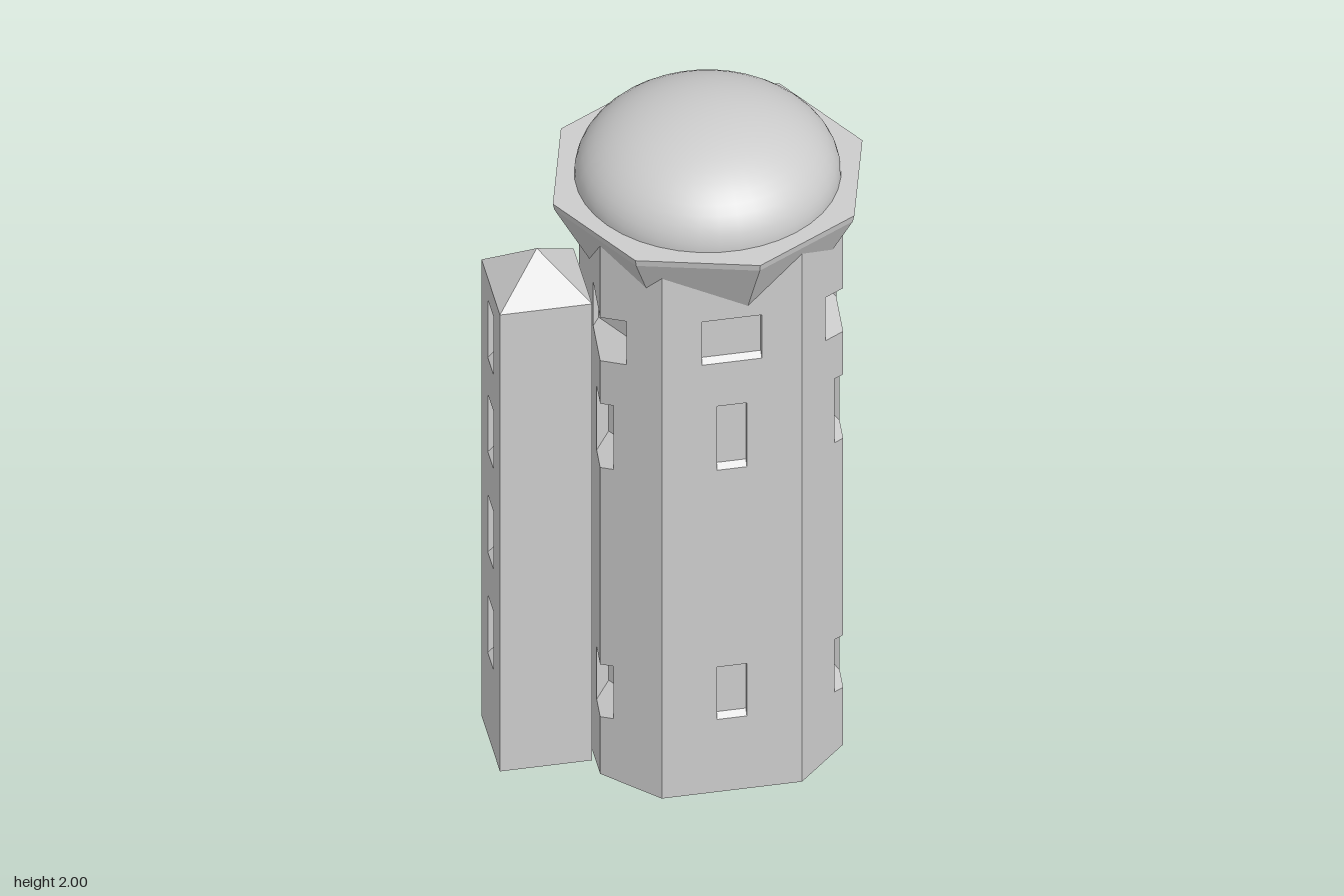
import * as THREE from 'three';
import { mergeGeometries } from 'three/addons/utils/BufferGeometryUtils.js';

const stone = new THREE.MeshStandardMaterial({ color: 0xcccccc, side: THREE.DoubleSide });
stone.name = 'pale stone';

const rad = THREE.MathUtils.degToRad;
const R = 0.375;                                        // shaft corner radius
const corners = [0, 30, 90, 120, 180, 210, 270, 300];   // angles from +z towards +x
const faces = corners.map((a, i) => {
  const b = i < 7 ? corners[i + 1] : 360;
  return { a, b, mid: rad((a + b) / 2), half: rad((b - a) / 2), ap: R * Math.cos(rad((b - a) / 2)) };
});
// bottom, top (measured at the wide walls) and half width
const rows = [[0.238, 0.41, 0.04], [1.057, 1.267, 0.04], [1.408, 1.55, 0.08]];
const WIDE = R * Math.cos(rad(30));

function mesh(name, geometry) {
  const m = new THREE.Mesh(geometry, stone);
  m.name = name;
  return m;
}

function flat(geometry) {
  const g = geometry.index ? geometry.toNonIndexed() : geometry;
  g.computeVertexNormals();
  return g;
}

const poly = (pts) => pts.map(([x, y]) => new THREE.Vector2(x, y));

// Flat wall facing an angle, at a distance from the axis, with optional holes
function wall(outline, holes, angle, distance) {
  const shape = new THREE.Shape(poly(outline));
  holes.forEach((h) => shape.holes.push(new THREE.Path(poly(h))));
  return new THREE.ShapeGeometry(shape).translate(0, 0, distance).rotateY(angle);
}

// Window recess in local axes: slanting sill and head, jambs, and back panel
function recess(ls, radius, back, low, high) {
  const v = [];
  const quad = (a, b, c, d) => v.push(...a, ...b, ...c, ...a, ...c, ...d);
  const front = (l, f) => [l, f(radius(l)), radius(l)];
  const rear = (l, f) => [l, f(back), back];
  for (let i = 0; i + 1 < ls.length; i++) {
    const p = ls[i], q = ls[i + 1];
    quad(front(p, low), front(q, low), rear(q, low), rear(p, low));
    quad(rear(p, high), rear(q, high), front(q, high), front(p, high));
  }
  const p = ls[0], q = ls[ls.length - 1];
  quad(front(p, low), rear(p, low), rear(p, high), front(p, high));
  quad(rear(q, low), front(q, low), front(q, high), rear(q, high));
  quad(rear(p, low), rear(q, low), rear(q, high), rear(p, high));
  const g = new THREE.BufferGeometry();
  g.setAttribute('position', new THREE.Float32BufferAttribute(v, 3));
  g.computeVertexNormals();
  return g;
}

// Distance of the shaft wall along a window's axis, at sideways offset l
function wallRadius(w, l) {
  let best = Infinity;
  for (const f of faces) {
    const d = f.mid - rad(w);
    if (Math.cos(d) > 0.3) best = Math.min(best, (f.ap - l * Math.sin(d)) / Math.cos(d));
  }
  return best;
}

const windowAngles = [30, 90, 150, 210, 270, 330];
const slant = (y) => (r) => y - (r - WIDE);             // reveals fall outwards at 45 degrees

function shaft() {
  const top = 1.78;
  const walls = faces.map((f) => {
    const e = R * Math.sin(f.half);
    const holes = [];
    const left = [], right = [];
    for (const [y0, y1, h] of rows) {
      const low = slant(y0), high = slant(y1);
      // notch where a window straddles the corner of this wall
      const notch = (w, l, edge) => {
        const r = wallRadius(w, l), d = rad(w) - f.mid;
        const u = r * Math.sin(d) + l * Math.cos(d);
        return [[edge, low(R)], [u, low(r)], [u, high(r)], [edge, high(R)]];
      };
      if (windowAngles.includes(f.b)) right.push(...notch(f.b, -h, e));
      if (windowAngles.includes(f.a)) left.push(...notch(f.a, h, -e));
      if (windowAngles.includes((f.a + f.b) / 2)) holes.push([[-h, y0], [-h, y1], [h, y1], [h, y0]]);
    }
    const outline = [[-e, 0], [e, 0], ...right, [e, top], [-e, top], ...left.reverse()];
    return wall(outline, holes, f.mid, f.ap);
  });
  // underside
  const base = corners.map((a) => [R * Math.sin(rad(a)), R * Math.cos(rad(a))]);
  walls.push(new THREE.ShapeGeometry(new THREE.Shape(poly(base))).rotateX(Math.PI / 2));
  return mergeGeometries(walls);
}

// Regular octagonal ring piece, flats facing the axes
function octagon(topApothem, bottomApothem, y0, y1) {
  const k = 1 / Math.cos(Math.PI / 8);
  return flat(new THREE.CylinderGeometry(topApothem * k, bottomApothem * k, y1 - y0, 8)
    .rotateY(Math.PI / 8).translate(0, (y0 + y1) / 2, 0));
}

function stairTurret() {
  const g = new THREE.Group();
  g.name = 'stairTurret';
  const s = 0.123, h = 1.5, w = 0.04, back = 0.065;
  const outline = [[-s, 0], [s, 0], [s, h], [-s, h]];
  const slits = [0.27, 0.6, 0.93, 1.24].map((y) => [y, y + 0.19]);
  const holes = slits.map(([a, b]) => [[-w, a], [-w, b], [w, b], [w, a]]);
  const walls = [0, 1, 2, 3].map((i) => wall(outline, i ? [] : holes, i * Math.PI / 2, s));
  walls.push(new THREE.PlaneGeometry(2 * s, 2 * s).rotateX(Math.PI / 2));
  g.add(mesh('turretWalls', mergeGeometries(walls)));
  slits.forEach(([a, b]) => g.add(mesh('turretWindow',
    recess([-w, w], () => s, back, (r) => a + s - r, (r) => b + s - r))));
  g.add(mesh('turretRoof', flat(new THREE.ConeGeometry(s * Math.SQRT2, 0.11, 4)
    .rotateY(Math.PI / 4).translate(0, h + 0.055, 0))));
  g.position.set(-0.3135, 0, -0.226);
  g.rotation.y = rad(240);
  return g;
}

export function createModel() {
  const model = new THREE.Group();
  model.name = 'tower';

  const main = new THREE.Group();
  main.name = 'mainTower';
  main.position.x = 0.084;
  main.add(mesh('shaft', shaft()));

  // three rows of windows around the shaft
  for (const w of windowAngles) {
    for (const [y0, y1, h] of rows) {
      const ls = corners.includes(w) ? [-h, 0, h] : [-h, h];
      const win = mesh('window', recess(ls, (l) => wallRadius(w, l), 0.31, slant(y0), slant(y1)));
      win.rotation.y = rad(w);
      main.add(win);
    }
  }

  // flared octagonal head and rim
  main.add(mesh('corbel', octagon(0.392, 0.3, 1.58, 1.77)));
  main.add(mesh('rim', octagon(0.396, 0.392, 1.77, 1.79)));

  // shallow dome
  const dome = mesh('dome', new THREE.SphereGeometry(1, 40, 14, 0, Math.PI * 2, 0, Math.PI / 2));
  dome.scale.set(0.35, 0.21, 0.35);
  dome.position.y = 1.79;
  main.add(dome);

  model.add(main, stairTurret());
  return model;
}
